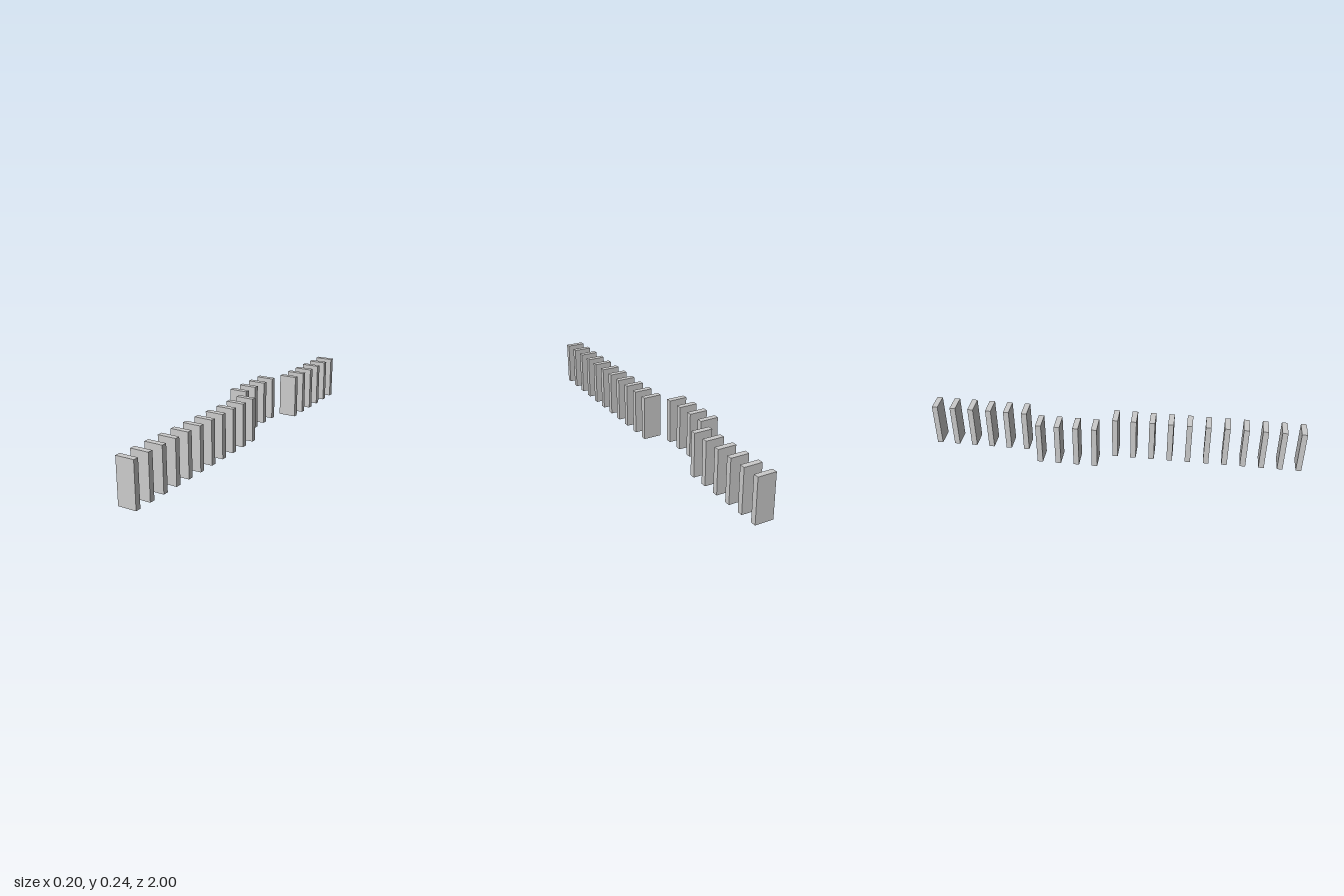
import * as THREE from 'three';

// A row of standing dominoes, with four shifted one width sideways
export function createModel() {
  const model = new THREE.Group();
  model.name = 'dominoRow';

  const count = 21;
  const unit = 2 / 20.3; // spacing between dominoes, also their width
  const height = 2.4 * unit;
  const thickness = 0.3 * unit;

  const geometry = new THREE.BoxGeometry(unit, height, thickness);
  const material = new THREE.MeshStandardMaterial({ color: 0xcccccc, flatShading: true });

  // Place from back (-z) to front (+z)
  for (let i = 0; i < count; i++) {
    const shifted = i >= 6 && i < 10;
    const domino = new THREE.Mesh(geometry, material);
    domino.name = `domino${i + 1}`;
    domino.position.set((shifted ? -0.5 : 0.5) * unit, height / 2, (i - (count - 1) / 2) * unit);
    model.add(domino);
  }
  return model;
}
